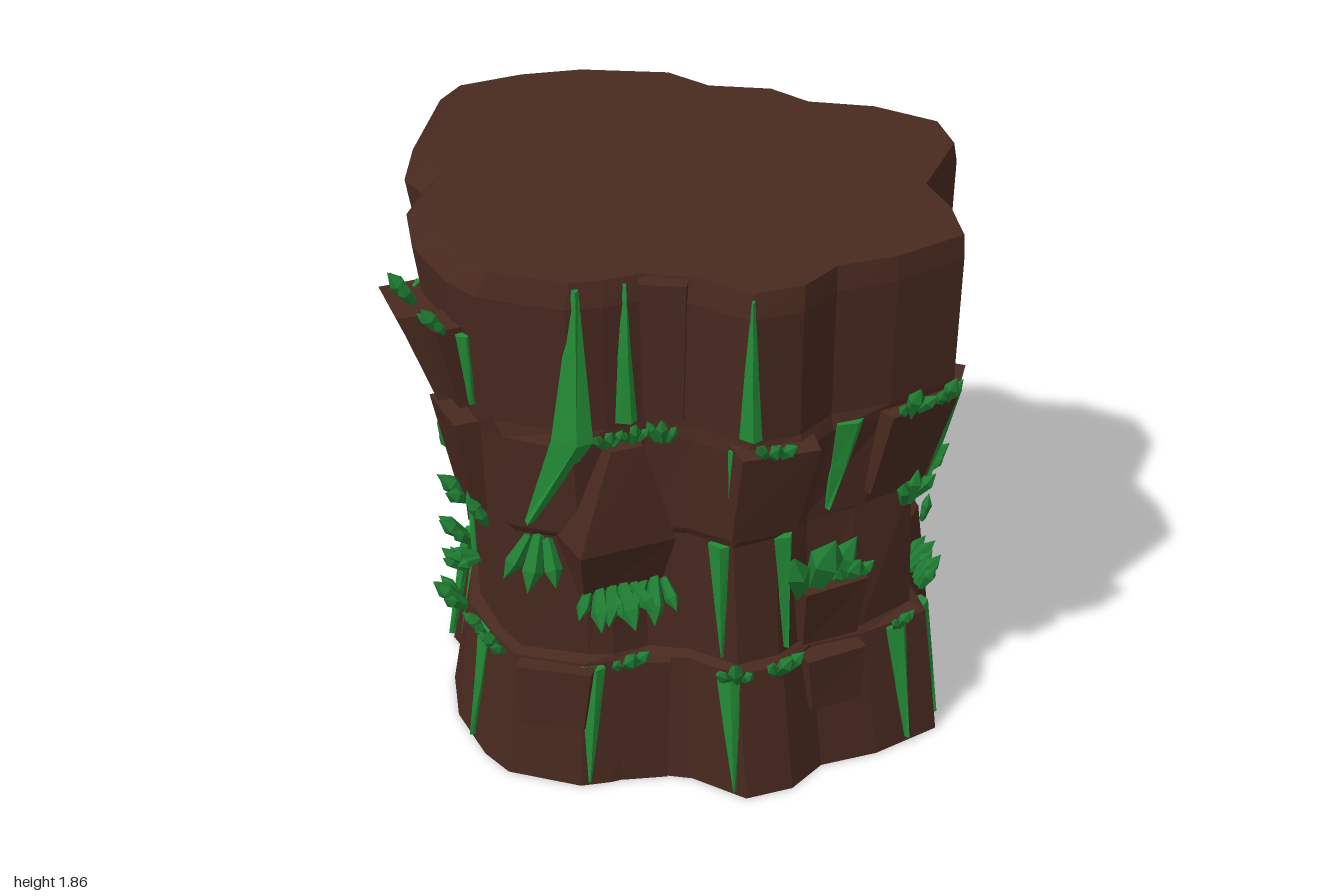
import * as THREE from 'three';

const mat = (color) => new THREE.MeshStandardMaterial({ color, flatShading: true, roughness: 0.9 });
const ROCK = mat(0x48291f), VEIN = mat(0x228c36), CRYSTAL = mat(0x1f7c32);

// Plan outline [x, z], running from +x round the back to the front
const PLAN = [
  [.96, .13], [.88, -.05], [.77, -.2], [.79, -.55], [.7, -.71], [.47, -.77], [.25, -.74], [.1, -.81], [-.12, -.77], [-.3, -.84],
  [-.62, -.77], [-.82, -.66], [-1, -.5], [-.94, -.1], [-.88, .12], [-.79, .2], [-.78, .35], [-.68, .55], [-.5, .73], [-.38, .8],
  [-.1, .8], [0, .75], [.1, .67], [.25, .65], [.45, .7], [.58, .6], [.64, .45], [.8, .33]];
const N = PLAN.length;

// Tiers: height, scale towards +x, -x, +z, -z
const LEVELS = [
  [0, .99, .9, .97, .93], [.47, .93, .82, .96, .9], [.49, .9, .79, .92, .87], [.94, .87, .8, .94, .9],
  [.97, .9, .82, .96, .92], [1.3, 1, .84, 1, .93], [1.35, .98, .91, .97, .97], [1.78, .99, 1, 1, .99], [1.86, .985, .91, .97, .92]];

let seed = 7;
const rand = () => (seed = (seed * 16807) % 2147483647) / 2147483647;

// The middle tiers are rough, the foot and crown are not
const RINGS = LEVELS.map(([y, px, nx, pz, nz]) => PLAN.map(([x, z]) => {
  const k = y > .4 && y < 1.32 ? 1 - .035 * rand() : 1;
  return new THREE.Vector3(x * (x > 0 ? px : nx) * k, y, z * (z > 0 ? pz : nz) * k);
}));

// Point on the cliff: u is the position along the outline, y the height
function surface(u, y) {
  u = ((u % N) + N) % N;
  let k = 0;
  while (k < LEVELS.length - 2 && LEVELS[k + 1][0] < y) k++;
  const t = (y - LEVELS[k][0]) / (LEVELS[k + 1][0] - LEVELS[k][0]);
  const i = Math.floor(u), j = (i + 1) % N, f = u - i;
  const at = (ring) => ring[i].clone().lerp(ring[j], f);
  return at(RINGS[k]).lerp(at(RINGS[k + 1]), t);
}

// Outward direction of the cliff in plan
function outward(u, y) {
  const d = surface(u + .6, y).sub(surface(u - .6, y));
  return new THREE.Vector3(-d.z, 0, d.x).normalize();
}

// Skin between stacked rings, closed at both ends
function loft(rings) {
  const pos = [], tri = (...v) => v.forEach((p) => pos.push(p.x, p.y, p.z));
  const n = rings[0].length;
  const middle = (r) => r.reduce((s, p) => s.add(p), new THREE.Vector3()).divideScalar(n);
  const first = rings[0], last = rings[rings.length - 1], c0 = middle(first), c1 = middle(last);
  for (let i = 0; i < n; i++) {
    const j = (i + 1) % n;
    for (let k = 0; k + 1 < rings.length; k++) {
      const a = rings[k], b = rings[k + 1];
      tri(a[i], a[j], b[j]);
      tri(a[i], b[j], b[i]);
    }
    tri(c0, first[j], first[i]);
    tri(c1, last[i], last[j]);
  }
  const g = new THREE.BufferGeometry();
  g.setAttribute('position', new THREE.Float32BufferAttribute(pos, 3));
  g.computeVertexNormals();
  return g;
}

// Piece lying on the cliff; rows are [u, y, width, depth]
function piece(name, material, rows, pointed) {
  const rings = rows.map(([u, y, w, d]) => {
    const p = surface(u, y), n = outward(u, y), side = new THREE.Vector3(n.z, 0, -n.x);
    const at = (x, z) => p.clone().addScaledVector(side, x).addScaledVector(n, z);
    return pointed
      ? [at(-w / 2, .008), at(w * .15, d), at(w / 2, .008), at(0, -.06)]
      : [at(-w * .44, d), at(w * .44, d), at(w / 2, -.12), at(-w / 2, -.12)];
  });
  const m = new THREE.Mesh(loft(rings), material);
  m.name = name;
  return m;
}

// Blocks and ledges that widen upwards: u, bottom, top, width, depth
const BLOCKS = [
  [26.3, .5, .73, .26, .1], [26.3, .25, .46, .24, .07], [19.6, .23, .46, .28, .05], [21.9, 0, .47, .2, .04],
  [17.1, 1.32, 1.62, .25, .12], [17.9, 1.36, 1.64, .14, .08], [27.4, 1.02, 1.33, .28, .06], [24.5, 1, 1.33, .28, .06],
  [22.4, 1.38, 1.85, .16, .05], [17.6, .97, 1.31, .24, .08], [.3, 1, 1.33, .2, .04], [2.6, 1, 1.32, .26, .03],
  [11.7, .5, .92, .26, .09], [7.2, .9, 1.2, .24, .06], [5.4, .55, .9, .26, .05], [13.6, .52, .9, .26, .05]];

// Green veins by tier: narrow end, wide end, width, positions u
const VEINS = [
  [.02, .46, .08, [15.3, 17.6, 20.3, 23.8, 27.5, .35, 3.6, 4.9, 9.3, 10.8, 14]],
  [.51, .94, .07, [16.1, 23.7, 25.2, 2.1, 8, 10.3, 13]],
  [.98, 1.32, .1, [17.4, 23.9, 26.3, 0, 1.6, 6.4, 14]],
  [1.84, 1.37, .07, [21.5, 24]],
  [1.37, 1.62, .07, [16.7, 18.3, 15.2]],
  [1.4, .98, .09, [4.4]]];

// Crystal tufts along each ledge: height, positions u
const TUFTS = [
  [.48, [16, 17, 17.8, 18.5, 21.3, 24, 24.8, 27.5, .8, 1.4, 2.8, 4, 6.5, 8, 9.2, 10.2, 12.6, 14.4]],
  [.95, [16, 17.4, 18.1, 27.7, .6, 2.5, 3, 3.5, 4.3, 5.5, 7, 10, 11.5, 13.2, 15.2]],
  [1.33, [16, 20.9, 21.6, 22.4, 24.4, 27.2, 27.7, 1.8, 5.7, 6.5, 8.5, 9.2, 14.4]],
  [1.63, [17.1, 18]]];

// Larger tufts: u, y, size, lean from vertical
const BIG_TUFTS = [
  [19.4, .93, .17, 2.5], [20.5, .77, .15, 2.2], [21.2, .77, .16, 2.2], [22.2, .77, .15, 2.3],
  [26, .73, .26, .25], [26.7, .72, .14, .5], [17.5, .72, .1, 1.4]];

const crystalGeometry = new THREE.LatheGeometry(
  [[0, -.25], [.13, -.2], [.24, .55], [0, 1]].map(([x, y]) => new THREE.Vector2(x, y)), 5).toNonIndexed();
crystalGeometry.computeVertexNormals();

function tuft(u, y, size, lean) {
  const g = new THREE.Group(), n = outward(u, y);
  g.name = 'crystalTuft';
  g.position.copy(surface(u, y)).addScaledVector(n, .05);
  g.rotation.y = Math.atan2(n.x, n.z);
  for (let i = -1; i <= 1; i++) {
    const c = new THREE.Mesh(crystalGeometry, CRYSTAL);
    c.name = 'crystal';
    c.position.x = i * size * .24;
    c.rotation.set(lean + (rand() - .5) * .4, 0, -i * .35);
    c.scale.setScalar(size * (i ? .6 + .2 * rand() : .9));
    g.add(c);
  }
  return g;
}

export function createModel() {
  const model = new THREE.Group();
  model.name = 'rockPillar';

  const body = new THREE.Mesh(loft(RINGS), ROCK);
  body.name = 'cliffBody';
  model.add(body);

  // Faceted boss on the front
  model.add(piece('frontBoss', ROCK, [[21.2, .74, .28, .03], [21.2, .96, .36, .1], [21.4, 1.3, .12, .05]]));
  for (const [u, y0, y1, w, d] of BLOCKS) {
    model.add(piece('rockBlock', ROCK, [[u, y0, w * .85, d * .5], [u, y1, w, d]]));
  }

  for (const [narrow, wide, w, places] of VEINS) {
    for (const u of places) {
      const rows = [[u, narrow, .01, .02], [u, (narrow + wide) / 2, w * .6, .025], [u, wide, w, .03]];
      model.add(piece('greenVein', VEIN, narrow < wide ? rows : rows.reverse(), true));
    }
  }
  // Long bent vein down the front
  model.add(piece('longVein', VEIN, [[19.3, 1, .03, .03], [20, 1.33, .13, .04], [20.2, 1.84, .02, .02]], true));

  for (const [y, places] of TUFTS) {
    for (const u of places) model.add(tuft(u, y, .09 + .05 * rand(), .3 + .5 * rand()));
  }
  for (const [u, y, size, lean] of BIG_TUFTS) model.add(tuft(u, y, size, lean));
  return model;
}
